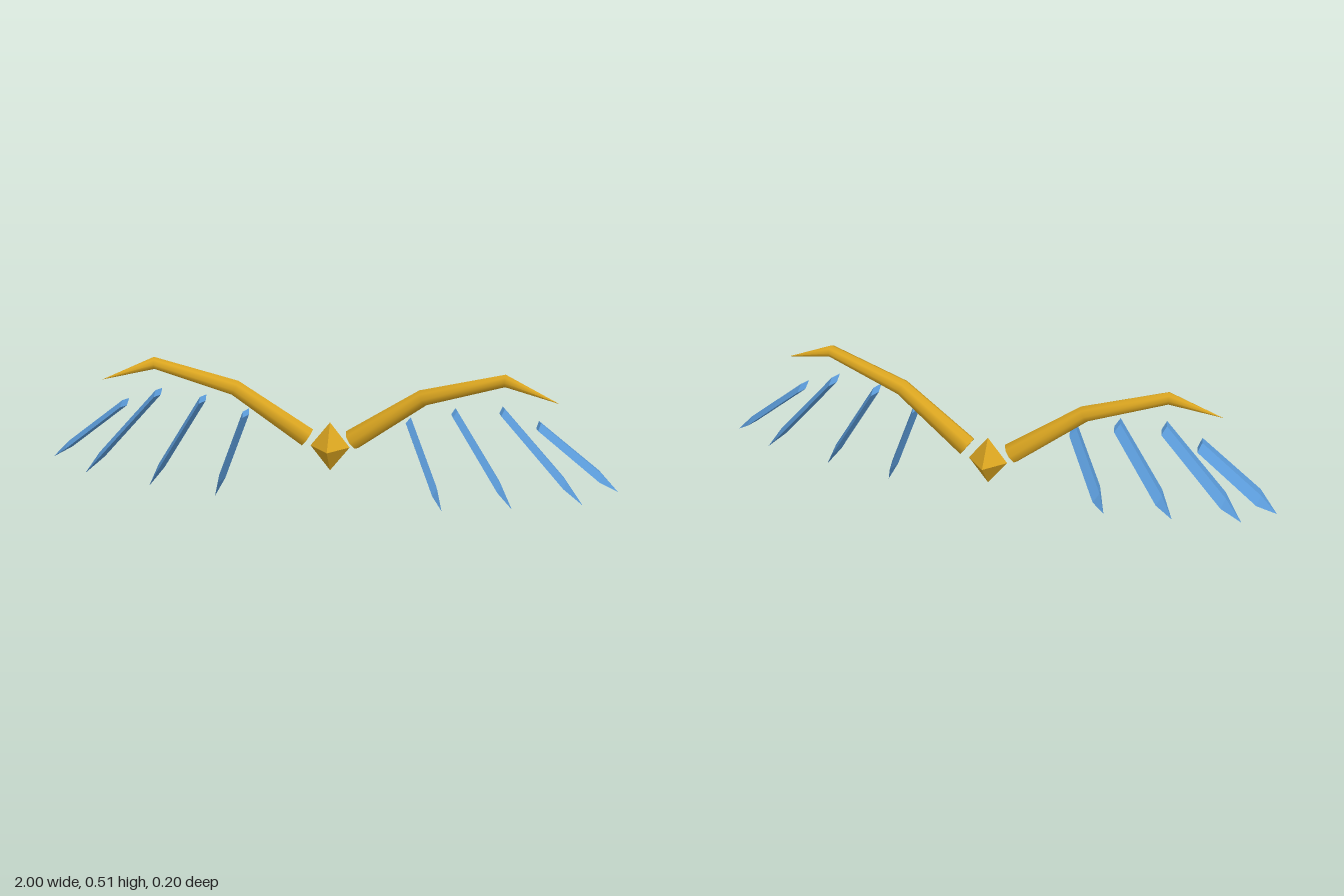
import * as THREE from 'three';

const V = (x, y, z) => new THREE.Vector3(x, y, z);

// Skins rings of `sides` points along a path; sizes are [z half-width, in-plane half-thickness]
function loft(path, sizes, sides, smooth) {
  const pos = [], index = [];
  path.forEach((p, i) => {
    const before = path[Math.max(i - 1, 0)], after = path[Math.min(i + 1, path.length - 1)];
    const t = V(0, 0, 0);
    if (i > 0) t.add(p.clone().sub(before).normalize());
    if (i < path.length - 1) t.add(after.clone().sub(p).normalize());
    t.normalize();
    const u = V(0, 0, 1).addScaledVector(t, -t.z).normalize();
    const v = t.clone().cross(u);
    for (let j = 0; j < sides; j++) {
      const a = (j / sides) * Math.PI * 2;
      const q = p.clone()
        .addScaledVector(u, Math.cos(a) * sizes[i][0])
        .addScaledVector(v, Math.sin(a) * sizes[i][1]);
      pos.push(q.x, q.y, q.z);
    }
  });
  for (let i = 0; i < path.length - 1; i++) {
    for (let j = 0; j < sides; j++) {
      const a = i * sides + j, b = i * sides + (j + 1) % sides;
      index.push(a, b, a + sides);
      // the last ring closes to a point, so it needs one triangle per side
      if (i < path.length - 2) index.push(b, b + sides, a + sides);
    }
  }
  // flat cap on the first ring, with its own vertices
  const base = pos.length / 3;
  pos.push(...pos.slice(0, sides * 3));
  for (let j = 1; j < sides - 1; j++) index.push(base, base + j + 1, base + j);

  let geo = new THREE.BufferGeometry();
  geo.setAttribute('position', new THREE.Float32BufferAttribute(pos, 3));
  geo.setIndex(index);
  if (!smooth) geo = geo.toNonIndexed();
  geo.computeVertexNormals();
  return geo;
}

export function createModel() {
  const model = new THREE.Group();
  model.name = 'wings';
  const gold = new THREE.MeshStandardMaterial({ color: 0xdaa520 });
  gold.name = 'gold';
  const blue = new THREE.MeshStandardMaterial({ color: 0x5b9bd9 });
  blue.name = 'blue';

  const add = (parent, name, geo, mat) => {
    const mesh = new THREE.Mesh(geo, mat);
    mesh.name = name;
    parent.add(mesh);
    return mesh;
  };

  // Central gem
  const gem = add(model, 'centreGem', new THREE.OctahedronGeometry(1), gold);
  gem.scale.set(0.07, 0.09, 0.07);
  gem.position.set(0, 0.191, -0.028);

  // Feather root and tip: [rootX, rootY, tipX, tipY]
  const feathers = [
    [0.285, 0.323, 0.405, 0.002],
    [0.438, 0.366, 0.647, 0.025],
    [0.598, 0.381, 0.885, 0.058],
    [0.722, 0.336, 1.0, 0.115],
  ];
  const featherZ = 0.042;

  for (const s of [1, -1]) {
    const wing = new THREE.Group();
    wing.name = s > 0 ? 'leftWing' : 'rightWing';
    model.add(wing);

    // Tapering arm, bent at two joints and ending in a point
    const arm = [
      V(s * 0.08, 0.226, -0.015),
      V(s * 0.328, 0.405, 0.016),
      V(s * 0.605, 0.491, 0.05),
      V(s * 0.787, 0.43, 0.08),
    ];
    const radii = [0.037, 0.029, 0.022, 0].map((r) => [r, r]);
    add(wing, 'wingArm', loft(arm, radii, 8, true), gold);

    // Blade feathers with a diamond section and pointed end
    feathers.forEach(([rx, ry, tx, ty], i) => {
      const root = V(s * rx, ry, featherZ), tip = V(s * tx, ty, featherZ);
      const shoulder = root.clone().lerp(tip, 0.76);
      const sizes = [[0.052, 0.012], [0.057, 0.012], [0, 0]];
      add(wing, 'feather' + (i + 1), loft([root, shoulder, tip], sizes, 4, false), blue);
    });
  }
  return model;
}
